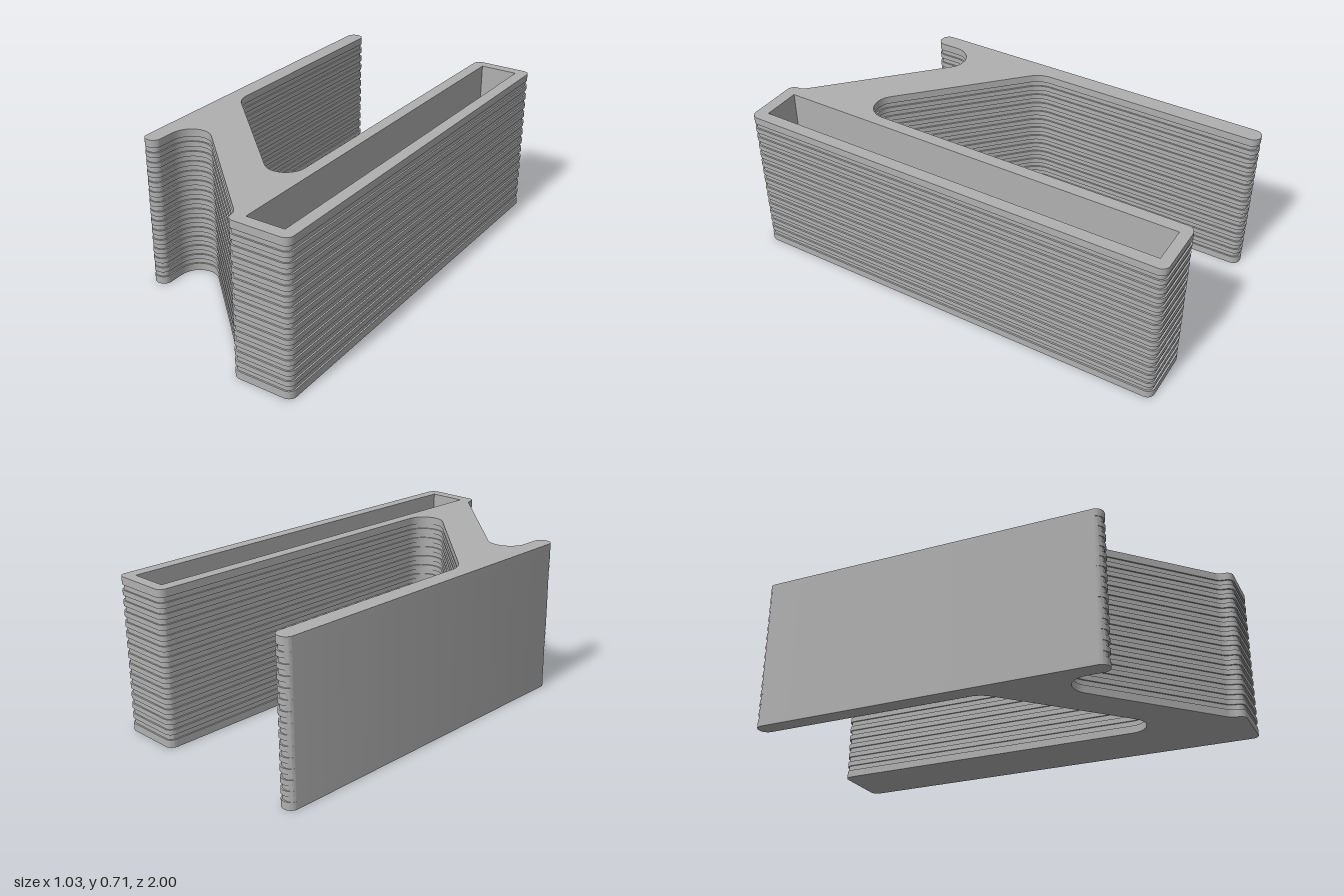
import * as THREE from 'three';
import { toCreasedNormals } from 'three/addons/utils/BufferGeometryUtils.js';

const HEIGHT = 0.706, FLOOR = 0.05, GROOVE = 0.007, GROOVES = 14;
const X = 0.517;

// Plan corners: x, z, fillet radius, anticlockwise seen from above
const corners = [
  [-X, 0.64, 0.037], [-0.438, 0.64, 0.037],                     // short end of the thin plate
  [-0.438, 0.31, 0.093], [0.23, 0.943, 0.05],                   // front side of the diagonal web
  [0.23, 1, 0.035], [X, 1, 0.035], [X, -1, 0.035], [0.23, -1, 0.035], // hollow block
  [0.23, 0.705, 0.09], [-0.438, 0.064, 0.12],                   // back side of the diagonal web
  [-0.438, -1, 0.037], [-X, -1, 0.037],                         // long end of the thin plate
].map(([x, z, r]) => ({ p: new THREE.Vector2(x, -z), r }));

// Filleted plan outline, inset by d on every side but the flat outer plate face
function outline(d) {
  const n = corners.length;
  const edges = corners.map(({ p }, i) => {
    const dir = corners[(i + 1) % n].p.clone().sub(p).normalize();
    const inset = i === n - 1 ? 0 : d;
    return { dir, start: p.clone().add(new THREE.Vector2(-dir.y, dir.x).multiplyScalar(inset)) };
  });
  const points = [];
  corners.forEach(({ r }, i) => {
    const a = edges[(i + n - 1) % n], b = edges[i];
    const turn = a.dir.cross(b.dir);
    const s = b.start.clone().sub(a.start).cross(b.dir) / turn;
    const corner = a.start.clone().addScaledVector(a.dir, s);
    const side = Math.sign(turn), radius = r - side * d;
    const angle = Math.acos(a.dir.dot(b.dir));
    const from = corner.clone().addScaledVector(a.dir, -radius * Math.tan(angle / 2));
    const centre = from.clone().addScaledVector(new THREE.Vector2(-a.dir.y, a.dir.x), side * radius);
    const steps = 10;
    for (let k = 0; k <= steps; k++) {
      points.push(from.clone().rotateAround(centre, side * angle * k / steps));
    }
  });
  return points;
}

// Side surface joining a stack of { points, y } rings
function loft(rings) {
  const pos = [];
  const put = (ring, i) => {
    const q = ring.points[i % ring.points.length];
    pos.push(q.x, ring.y, -q.y);
  };
  for (let k = 0; k < rings.length - 1; k++) {
    const a = rings[k], b = rings[k + 1];
    for (let i = 0; i < a.points.length; i++) {
      put(a, i); put(a, i + 1); put(b, i + 1);
      put(a, i); put(b, i + 1); put(b, i);
    }
  }
  const g = new THREE.BufferGeometry();
  g.setAttribute('position', new THREE.Float32BufferAttribute(pos, 3));
  return toCreasedNormals(g, Math.PI / 6);
}

export function createModel() {
  const group = new THREE.Group();
  group.name = 'ribbedHolder';
  const grey = new THREE.MeshStandardMaterial({ color: 0xb0b0b0 });
  grey.name = 'grey';
  const add = (name, geometry) => {
    const mesh = new THREE.Mesh(geometry, grey);
    mesh.name = name;
    group.add(mesh);
    return mesh;
  };

  const full = outline(0), inner = outline(GROOVE);

  // Outer walls with evenly stacked square grooves
  const band = HEIGHT / 30, rings = [{ points: full, y: 0 }];
  for (let i = 0; i < GROOVES; i++) {
    const y0 = band * (1.5 + 2 * i), y1 = y0 + band;
    rings.push({ points: full, y: y0 }, { points: inner, y: y0 },
      { points: inner, y: y1 }, { points: full, y: y1 });
  }
  rings.push({ points: full, y: HEIGHT });
  add('ribbedWalls', loft(rings));

  // Pocket in the block, clockwise so its walls face inward
  const pocket = [[0.285, -0.945], [0.285, 0.95], [0.462, 0.95], [0.462, -0.945]]
    .map(([x, y]) => new THREE.Vector2(x, y));
  add('pocketWalls', loft([{ points: pocket, y: FLOOR }, { points: pocket, y: HEIGHT }]));
  const floor = add('pocketFloor', new THREE.ShapeGeometry(new THREE.Shape(pocket)).rotateX(-Math.PI / 2));
  floor.position.y = FLOOR;

  // Top face with the pocket opening, and closed underside
  const topShape = new THREE.Shape(full);
  topShape.holes.push(new THREE.Path(pocket));
  const top = add('topFace', new THREE.ShapeGeometry(topShape).rotateX(-Math.PI / 2));
  top.position.y = HEIGHT;
  const under = new THREE.Shape(full.map(p => new THREE.Vector2(p.x, -p.y)));
  add('underside', new THREE.ShapeGeometry(under).rotateX(Math.PI / 2));

  return group;
}
